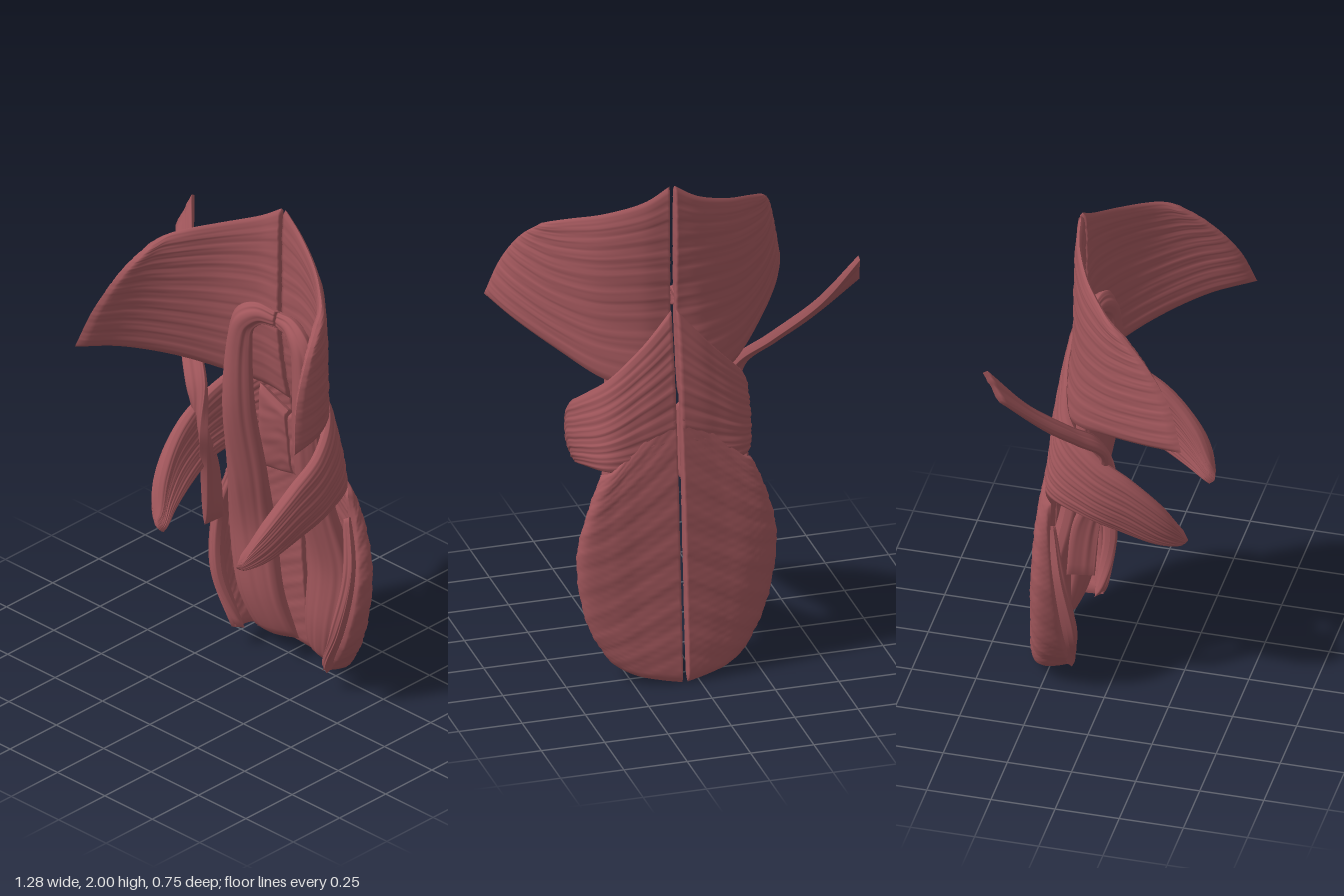
import * as THREE from 'three';

const MID = 0.057; // x of the spine plane
const material = new THREE.MeshStandardMaterial({ color: 0xa0565b });

const curve = pts => new THREE.CatmullRomCurve3(pts.map(p => new THREE.Vector3(...p)));

// Thick fibrous sheet lofted through rows of points. Each row starts at the spine,
// side is +1 (left) or -1 (right), thick holds thickness values along the rows,
// slant tilts the fibres across the rows.
function sheet(name, side, rows, thick, fibres, slant = 0, n = 48, m = 64) {
  const lines = rows.map(curve);
  const across = [];
  for (let i = 0; i <= n; i++) {
    across.push(new THREE.CatmullRomCurve3(lines.map(l => l.getPoint(i / n))));
  }
  const at = (i, j) => across[Math.min(n, Math.max(0, i))].getPoint(Math.min(m, Math.max(0, j)) / m);
  const round = s => Math.sqrt(Math.max(0, 1 - Math.abs(2 * s - 1) ** 10));
  const thickAt = s => {
    const f = s * (thick.length - 1), k = Math.min(thick.length - 2, Math.floor(f));
    return THREE.MathUtils.lerp(thick[k], thick[k + 1], f - k);
  };
  const pos = [], idx = [], loop = 2 * n + 2;
  for (let j = 0; j <= m; j++) {
    const v = j / m, back = [], front = [];
    for (let i = 0; i <= n; i++) {
      const s = i / n, p = at(i, j);
      const ds = at(i + 1, j).sub(at(i - 1, j)), dv = at(i, j + 1).sub(at(i, j - 1));
      const nor = ds.cross(dv).normalize();
      // blunt at the spine, rounded on the other three edges
      const edge = round(Math.max(s, 0.5)) * round(v);
      const w = (v - slant * s) * fibres * 6.28 + Math.sin(s * 5);
      const ridge = 0.0014 * (Math.sin(w) + Math.sin(w * 0.43 + s * 4) + 0.5 * Math.sin(w * 1.7 - s * 6)) * edge;
      const h = thickAt(s) / 2 * edge;
      back.push(p.clone().addScaledVector(nor, h + ridge));
      front.push(p.clone().addScaledVector(nor, -h - ridge));
    }
    for (const p of [...back, ...front.reverse()]) {
      pos.push(MID + side * Math.max(0.004, p.x), Math.max(0, p.y), p.z);
    }
  }
  for (let j = 0; j < m; j++) {
    for (let k = 0; k < loop; k++) {
      const a = j * loop + k, b = j * loop + (k + 1) % loop, c = a + loop, d = b + loop;
      if (side > 0) idx.push(a, b, c, b, d, c);
      else idx.push(a, c, b, b, c, d);
    }
  }
  const geo = new THREE.BufferGeometry();
  geo.setAttribute('position', new THREE.Float32BufferAttribute(pos, 3));
  geo.setIndex(idx);
  geo.computeVertexNormals();
  const mesh = new THREE.Mesh(geo, material);
  mesh.name = name;
  return mesh;
}

// Broad upper sheet sweeping forward from the spine
const upperSheet = [
  [[.01, 2, -.165], [.1, 1.94, -.15], [.24, 1.88, -.085], [.35, 1.84, -.005], [.405, 1.815, .045], [.435, 1.785, .1]],
  [[.01, 1.72, -.165], [.12, 1.71, -.15], [.27, 1.69, -.085], [.395, 1.68, .03], [.455, 1.685, .125], [.487, 1.685, .215]],
  [[.01, 1.45, -.165], [.12, 1.45, -.16], [.27, 1.45, -.095], [.4, 1.48, .03], [.49, 1.52, .175], [.535, 1.545, .315]],
  [[.01, 1.15, -.21], [.12, 1.17, -.2], [.26, 1.21, -.12], [.39, 1.28, .02], [.51, 1.345, .2], [.58, 1.385, .37]],
];
// Middle sheet that narrows to a lobe pointing forward
const middleLobe = [
  [[.01, 1.49, -.185], [.12, 1.36, -.19], [.24, 1.22, -.15], [.305, 1.11, -.03], [.305, 1.02, .1], [.27, .885, .225], [.22, .745, .295]],
  [[.01, 1.2, -.23], [.13, 1.12, -.23], [.26, 1.02, -.19], [.315, .95, -.05], [.305, .88, .1], [.265, .785, .22], [.205, .71, .3]],
  [[.01, .85, -.26], [.13, .85, -.25], [.26, .86, -.22], [.3, .83, -.08], [.285, .785, .04], [.25, .725, .18], [.2, .69, .28]],
];
// Lower sheet wrapping round the flank
const lowerSheet = [
  [[.01, 1.14, -.235], [.08, 1.06, -.24], [.17, .97, -.24], [.26, .87, -.24], [.295, .85, -.21]],
  [[.01, .85, -.265], [.12, .8, -.265], [.24, .75, -.26], [.33, .71, -.245], [.33, .68, -.205]],
  [[.01, .55, -.29], [.14, .52, -.285], [.28, .5, -.275], [.37, .52, -.24], [.36, .5, -.18]],
  [[.01, .28, -.31], [.13, .26, -.305], [.25, .24, -.285], [.33, .25, -.24], [.31, .22, -.15]],
  [[.01, 0, -.335], [.09, .015, -.325], [.18, .035, -.3], [.24, .06, -.25], [.23, .085, -.14]],
];
// Fold lying along the inside of the flank
const flankFold = [
  [[.31, .76, -.215], [.36, .55, -.18], [.34, .32, -.14], [.25, .08, -.14]],
  [[.28, .74, -.21], [.32, .52, -.165], [.29, .3, -.13], [.21, .08, -.17]],
];
// Long column that arches over to the spine
const archColumn = [
  [[.005, 1.56, -.145], [.1, 1.565, -.135], [.175, 1.52, -.125], [.215, 1.38, -.12], [.24, 1.1, -.12], [.265, .8, -.165], [.31, .52, -.215], [.27, .25, -.21], [.21, .06, -.24]],
  [[.005, 1.53, -.135], [.085, 1.53, -.115], [.145, 1.48, -.095], [.17, 1.38, -.085], [.18, 1.1, -.08], [.18, .8, -.13], [.2, .52, -.19], [.17, .25, -.2], [.12, .06, -.24]],
  [[.005, 1.495, -.15], [.08, 1.495, -.14], [.12, 1.46, -.13], [.13, 1.36, -.13], [.125, 1.1, -.14], [.105, .8, -.185], [.1, .52, -.225], [.07, .25, -.24], [.03, .06, -.28]],
];
// Short panel beside the spine
const innerPanel = [
  [[.01, 1.1, -.2], [.06, 1.13, -.19], [.14, 1.18, -.18]],
  [[.01, .96, -.215], [.06, .98, -.2], [.14, 1.01, -.18]],
  [[.01, .81, -.235], [.06, .81, -.22], [.14, .81, -.2]],
];
// Single loose strap on the right side
const looseStrap = [
  [[.677, 1.7, -.37], [.557, 1.48, -.25], [.4, 1.29, -.12], [.285, 1.17, -.04], [.24, 1, .02], [.28, .8, -.02], [.295, .55, -.04]],
  [[.698, 1.58, -.3], [.557, 1.38, -.155], [.44, 1.25, -.06], [.335, 1.13, .01], [.31, 1, -.03], [.31, .8, -.12], [.3, .54, -.15]],
];

export function createModel() {
  const group = new THREE.Group();
  group.name = 'backMuscles';
  for (const side of [1, -1]) {
    const label = side > 0 ? 'left' : 'right';
    group.add(
      sheet(label + 'UpperSheet', side, upperSheet, [.035, .03, .03, .035, .045], 22),
      sheet(label + 'MiddleLobe', side, middleLobe, [.035, .03, .05, .06, .06, .05], 14),
      sheet(label + 'LowerSheet', side, lowerSheet, [.04, .03, .035, .045], 20, 0.2),
      sheet(label + 'FlankFold', side, flankFold, [.03, .05, .05, .04], 3, 0, 32, 24),
      sheet(label + 'ArchColumn', side, archColumn, [.04, .06, .06, .07, .07, .06], 5, 0, 72, 32),
      sheet(label + 'InnerPanel', side, innerPanel, [.05, .05], 4, 0, 16, 32),
    );
  }
  group.add(sheet('rightLooseStrap', -1, looseStrap, [.02, .03, .03, .035, .03], 3, 0, 56, 24));
  return group;
}
